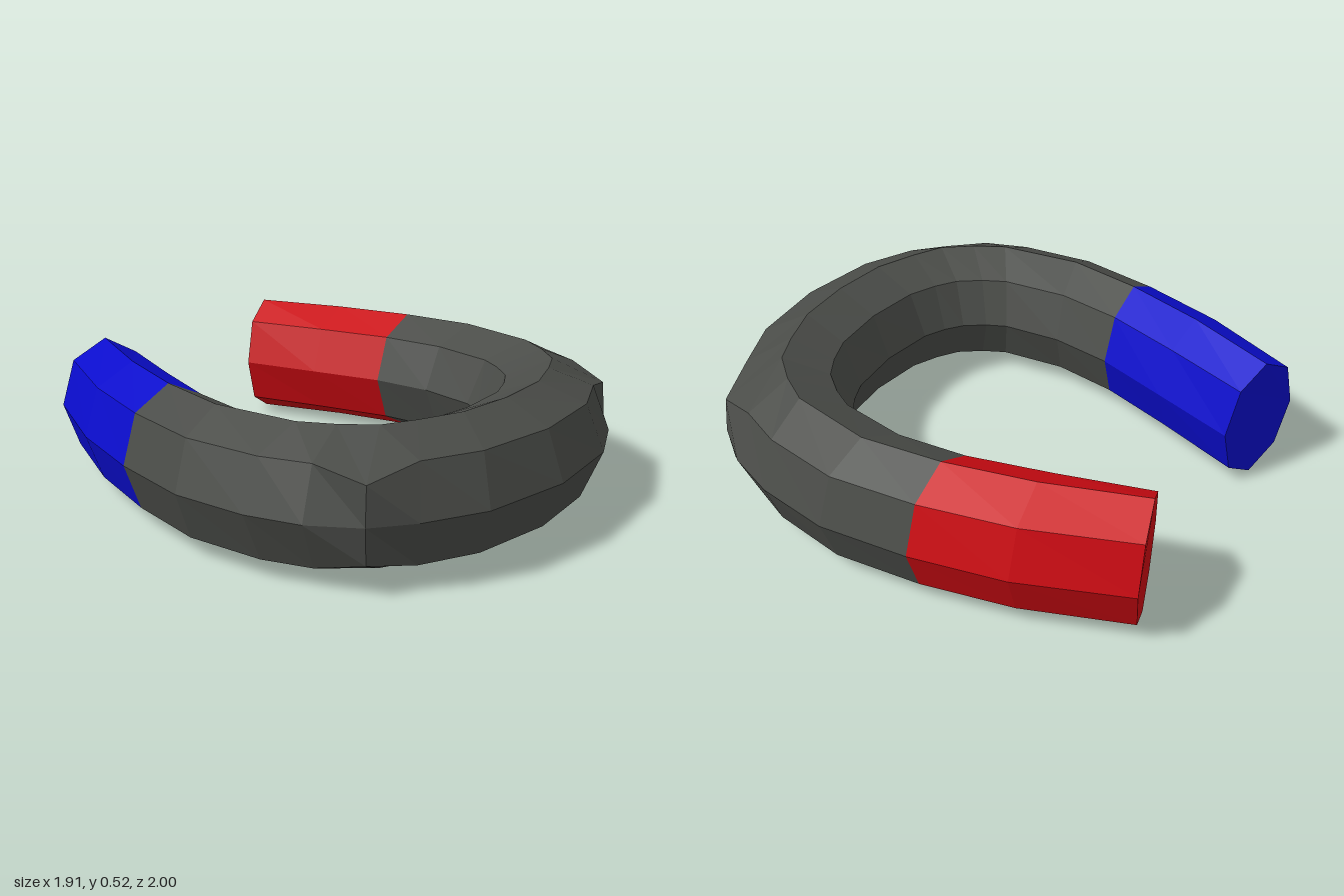
import * as THREE from 'three';

const MID_Y = 0.26;
const HALF_HEIGHT = 0.26;

// Stations from the pole tip to the middle of the bow:
// inner x, z, ridge x, z, outer x, z, then optional outer shoulder flare.
const HALF = [
  [0.29, -0.88, 0.46, -0.94, 0.65, -1.0],
  [0.39, -0.55, 0.6, -0.58, 0.82, -0.61],
  [0.48, -0.25, 0.69, -0.255, 0.91, -0.26],
  [0.51, 0.0, 0.735, 0.05, 0.957, 0.08],
  [0.48, 0.24, 0.68, 0.38, 0.92, 0.37],
  [0.44, 0.32, 0.61, 0.5, 0.85, 0.57],
  [0.38, 0.4, 0.52, 0.61, 0.735, 0.735, true],
  [0.31, 0.45, 0.4, 0.67, 0.59, 0.84],
  [0.22, 0.49, 0.23, 0.735, 0.36, 0.95],
  [0, 0.515, 0, 0.755, 0, 1.0],
];

// Eight-sided section: outer, top, inner, bottom, with shoulders between.
function ring([ix, iz, mx, mz, ox, oz, flared], side) {
  const points = [];
  for (let j = 0; j < 8; j++) {
    const angle = (j * Math.PI) / 4;
    let across = Math.cos(angle);
    let up = Math.sin(angle);
    if (flared && (j === 1 || j === 7)) {
      across = 0.94;
      up *= 0.76;
    }
    const reach = Math.abs(across);
    const [ex, ez] = across > 0 ? [ox, oz] : [ix, iz];
    points.push(new THREE.Vector3(
      side * (mx + (ex - mx) * reach),
      MID_Y + HALF_HEIGHT * up,
      mz + (ez - mz) * reach,
    ));
  }
  return points;
}

// Skin a run of rings, closing either end with a flat fan.
function loft(name, rings, color, capStart, capEnd) {
  const positions = [];
  const tri = (...corners) => corners.forEach((p) => positions.push(p.x, p.y, p.z));
  for (let i = 0; i < rings.length - 1; i++) {
    for (let j = 0; j < 8; j++) {
      const k = (j + 1) % 8;
      tri(rings[i][j], rings[i][k], rings[i + 1][k]);
      tri(rings[i][j], rings[i + 1][k], rings[i + 1][j]);
    }
  }
  const cap = (r, flip) => {
    for (let j = 1; j < 7; j++) {
      if (flip) tri(r[0], r[j + 1], r[j]);
      else tri(r[0], r[j], r[j + 1]);
    }
  };
  if (capStart) cap(rings[0], true);
  if (capEnd) cap(rings[rings.length - 1], false);

  const geometry = new THREE.BufferGeometry();
  geometry.setAttribute('position', new THREE.Float32BufferAttribute(positions, 3));
  geometry.computeVertexNormals();
  const mesh = new THREE.Mesh(geometry, new THREE.MeshStandardMaterial({ color, flatShading: true }));
  mesh.name = name;
  return mesh;
}

export function createModel() {
  const group = new THREE.Group();
  group.name = 'horseshoeMagnet';

  // Left half, then its mirror image in reverse order
  const rings = [
    ...HALF.map((s) => ring(s, 1)),
    ...HALF.slice(0, -1).reverse().map((s) => ring(s, -1)),
  ];
  const last = rings.length - 1;

  group.add(
    loft('leftPole', rings.slice(0, 3), 0xcc0a12, true, false),
    loft('bow', rings.slice(2, last - 1), 0x4a4c48, false, false),
    loft('rightPole', rings.slice(last - 2), 0x0a0ccc, false, true),
  );
  return group;
}
